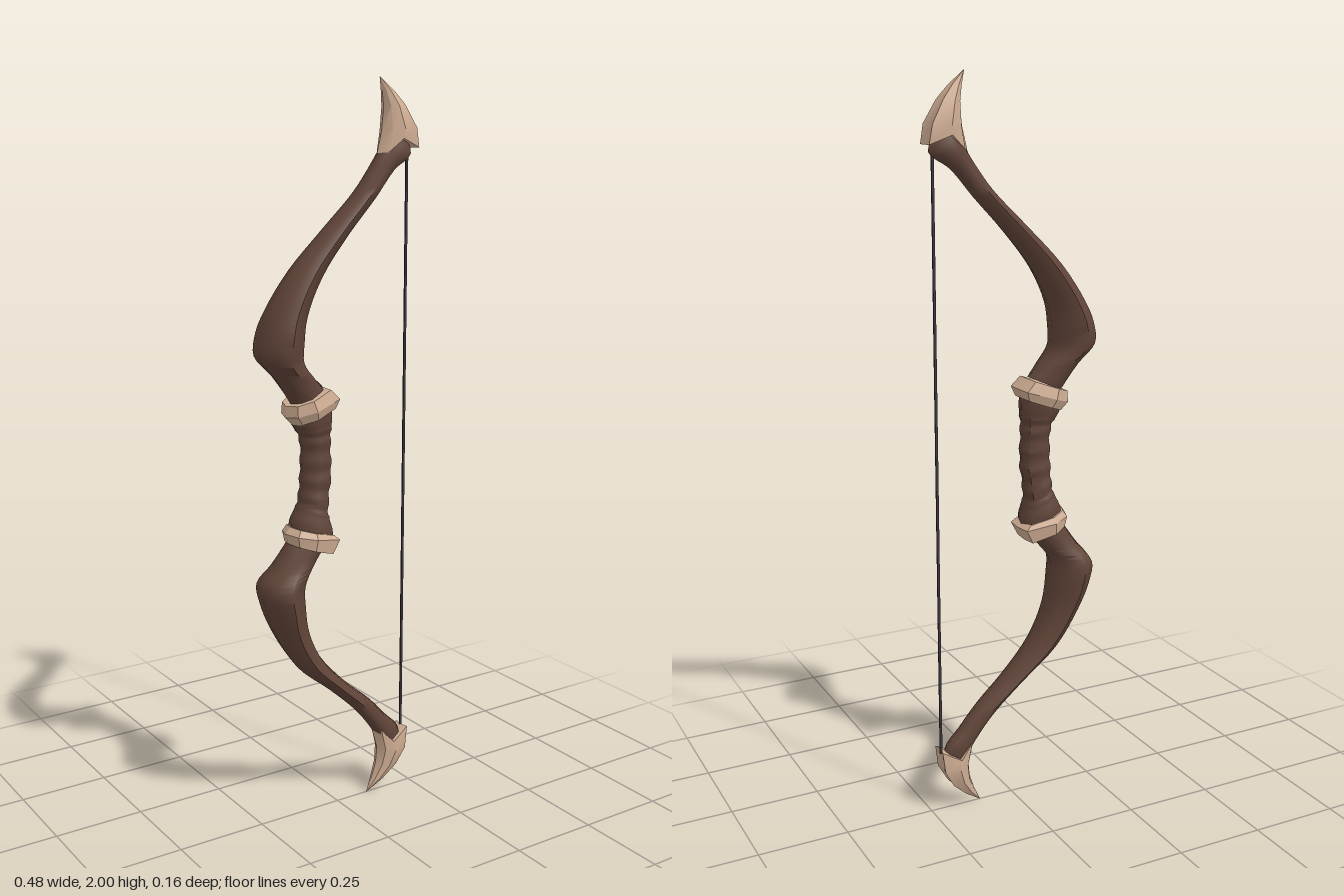
import * as THREE from 'three';
import { toCreasedNormals } from 'three/addons/utils/BufferGeometryUtils.js';

// Half cross-sections as [position from outer to inner edge, share of half width]
const mirrorProfile = half => [...half, ...half.slice(1, -1).reverse().map(([t, z]) => [t, -z])];
const LIMB = mirrorProfile([[0, 0], [0.13, 0.72], [0.42, 1], [0.85, 0.7], [1, 0]]);
const GRIP = mirrorProfile([[0, 0], [0.1, 0.65], [0.42, 1], [0.9, 0.75], [1, 0]]);
const COLLAR = mirrorProfile([[0, 0], [0.1, 0.65], [0.42, 1], [0.97, 0.75], [1, 0]]);
const HORN = mirrorProfile([[0, 0], [0.16, 0.68], [0.5, 1], [1, 0.68], [0.93, 0]]);

// Smoothly resample stations [outerX, outerY, innerX, innerY, halfWidth]
function resample(stations, steps) {
  const curve = k => new THREE.CatmullRomCurve3(stations.map(s => new THREE.Vector3(s[k[0]], s[k[1]], s[4])));
  const outer = curve([0, 1]), inner = curve([2, 3]);
  return Array.from({ length: steps + 1 }, (_, i) => {
    const a = outer.getPoint(i / steps), b = inner.getPoint(i / steps);
    return [a.x, a.y, b.x, b.y, a.z];
  });
}

// Skin a closed cross-section through stations listed from bottom to top;
// a sixth station value shifts the widest points up or down
function loft(stations, profile, crease) {
  const n = profile.length, pos = [], idx = [];
  stations.forEach(([ox, oy, ix, iy, w, dip = 0]) => profile.forEach(([t, z]) =>
    pos.push(ox + (ix - ox) * t, oy + (iy - oy) * t + (Math.abs(z) === 1 ? dip : 0), z * w)));
  for (let s = 0; s < stations.length - 1; s++) {
    for (let j = 0; j < n; j++) {
      const k = (j + 1) % n, a = s * n + j, b = s * n + k;
      idx.push(a, b, b + n, a, b + n, a + n);
    }
  }
  // End caps
  [0, stations.length - 1].forEach((s, end) => {
    const [ox, oy, ix, iy, , dip = 0] = stations[s], c = pos.length / 3;
    pos.push((ox + ix) / 2, (oy + iy) / 2 + dip, 0);
    for (let j = 0; j < n; j++) {
      const a = s * n + j, b = s * n + (j + 1) % n;
      end ? idx.push(c, a, b) : idx.push(c, b, a);
    }
  });
  const g = new THREE.BufferGeometry();
  g.setAttribute('position', new THREE.Float32BufferAttribute(pos, 3));
  g.setIndex(idx);
  return toCreasedNormals(g, crease);
}

export function createModel() {
  const group = new THREE.Group();
  const material = (name, color) => Object.assign(new THREE.MeshStandardMaterial({ color }), { name });
  const wood = material('darkWood', 0x604438);
  const bone = material('bone', 0xd0ae94);
  const cord = material('cord', 0x3c3640);
  const add = (name, geometry, mat) => {
    const mesh = new THREE.Mesh(geometry, mat);
    mesh.name = name;
    group.add(mesh);
  };

  // Curved limbs
  const upper = [
    [-0.145, 1.17, -0.05, 1.212, 0.043], [-0.195, 1.245, -0.08, 1.24, 0.058],
    [-0.24, 1.30, -0.118, 1.285, 0.075], [-0.23, 1.36, -0.122, 1.335, 0.082],
    [-0.203, 1.42, -0.11, 1.4, 0.071], [-0.138, 1.515, -0.062, 1.495, 0.056],
    [-0.035, 1.62, 0.02, 1.597, 0.043], [0.06, 1.713, 0.108, 1.69, 0.037],
    [0.112, 1.785, 0.172, 1.762, 0.033], [0.134, 1.825, 0.23, 1.804, 0.032],
    [0.165, 1.87, 0.2, 1.865, 0.018],
  ];
  const lower = [
    [0.158, 0.11, 0.19, 0.115, 0.018], [0.138, 0.155, 0.21, 0.175, 0.027],
    [0.108, 0.205, 0.162, 0.23, 0.03], [0.06, 0.265, 0.104, 0.292, 0.034],
    [-0.025, 0.345, 0.018, 0.367, 0.042], [-0.13, 0.435, -0.06, 0.455, 0.053],
    [-0.2, 0.545, -0.106, 0.545, 0.066], [-0.23, 0.625, -0.122, 0.63, 0.08],
    [-0.24, 0.68, -0.12, 0.685, 0.078], [-0.2, 0.732, -0.085, 0.735, 0.058],
    [-0.145, 0.81, -0.05, 0.77, 0.044],
  ];
  add('upperLimb', loft(resample(upper, 40), LIMB, 1.05), wood);
  add('lowerLimb', loft(resample(lower, 40), LIMB, 1.05), wood);

  // Grip with wrapped ridges along its middle
  const grip = resample([
    [-0.145, 0.81, -0.035, 0.78, 0.052], [-0.145, 0.85, -0.03, 0.815, 0.053],
    [-0.12, 0.9, -0.044, 0.87, 0.044], [-0.114, 0.98, -0.031, 0.975, 0.037],
    [-0.115, 1.075, -0.034, 1.075, 0.04], [-0.14, 1.115, -0.03, 1.135, 0.048],
    [-0.145, 1.15, -0.035, 1.18, 0.05],
  ], 56).map(([ox, oy, ix, iy, w], i) => {
    const r = i > 16 && i < 42 ? 0.002 * Math.sin(i * Math.PI / 2.5) : 0;
    return [ox - r, oy, ix + r, iy, w + r];
  });
  add('grip', loft(grip, GRIP, 1.05), wood);

  // Collars where the limbs meet the grip
  add('upperCollar', loft([
    [-0.142, 1.116, -0.03, 1.156, 0.056], [-0.164, 1.138, -0.02, 1.182, 0.066],
    [-0.16, 1.168, -0.047, 1.208, 0.061],
  ], COLLAR, 0.3), bone);
  add('lowerCollar', loft([
    [-0.157, 0.794, -0.04, 0.757, 0.061], [-0.165, 0.822, -0.02, 0.795, 0.066],
    [-0.152, 0.84, -0.035, 0.808, 0.057],
  ], COLLAR, 0.3), bone);

  // Horn tips, notched at the sides of the base
  add('upperHorn', loft([
    [0.123, 1.808, 0.239, 1.822, 0.041, 0.03], [0.137, 1.865, 0.23, 1.872, 0.044],
    [0.143, 1.925, 0.197, 1.93, 0.033], [0.138, 1.965, 0.168, 1.965, 0.019], [0.13, 2, 0.131, 2, 0.001],
  ], HORN, 0.6), bone);
  add('lowerHorn', loft([
    [0.1, 0, 0.101, 0, 0.001], [0.118, 0.04, 0.149, 0.034, 0.018],
    [0.132, 0.083, 0.19, 0.072, 0.03], [0.136, 0.13, 0.217, 0.12, 0.04], [0.118, 0.192, 0.225, 0.183, 0.037, -0.035],
  ], HORN, 0.6), bone);

  // Bowstring
  const string = new THREE.BoxGeometry(0.007, 1.65, 0.004);
  string.translate(0.219, 0.995, 0);
  add('bowstring', string, cord);

  return group;
}
